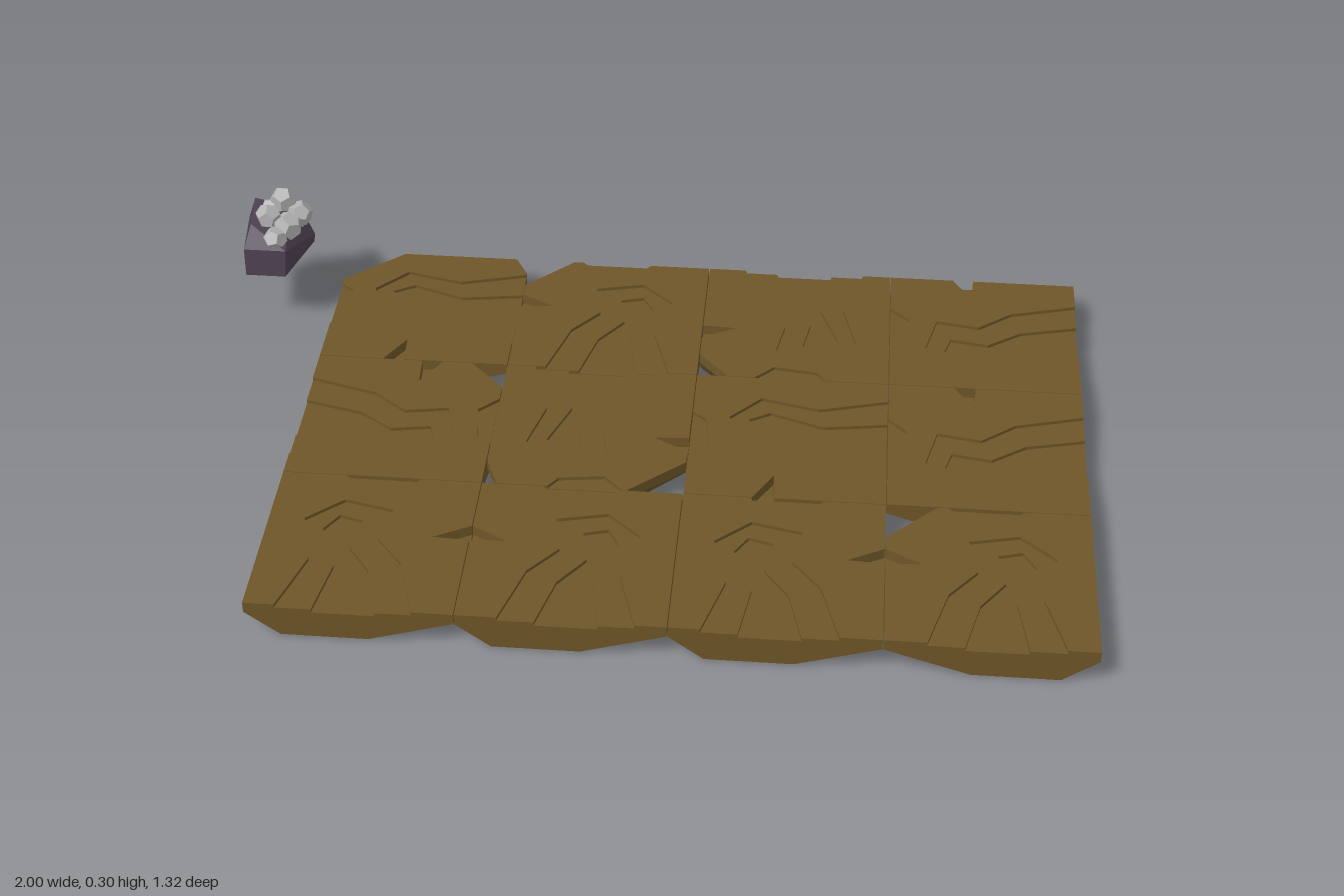
import * as THREE from 'three';
import { ConvexGeometry } from 'three/addons/geometries/ConvexGeometry.js';

const material = (color) => new THREE.MeshStandardMaterial({ color, flatShading: true });
const earth = material(0x6e5628);
const darkStone = material(0x4d4152);
const paleStone = material(0xb0b0b0);

const HALF = 0.219;   // half a slab's width
const PITCH = 0.44;   // distance between slab centres

// Notches in edge coordinates: along the edge (-1..1), depth inward
const valley = [[-0.6, 0], [-0.4, 0.7], [-0.12, 1.05], [-0.2, 1.5], [0.3, 1.62], [0.65, 1.3], [0.5, 0.7], [0.7, 0]];
const innerValley = [[-0.25, 0], [-0.1, 0.6], [0.15, 0.95], [0.08, 1.35], [0.32, 1.42], [0.45, 1.2], [0.25, 0.65], [0.35, 0]];
const shelf = [[-0.35, 0], [-0.25, 0.14], [0.2, 0.2], [0.4, 0]];
const crack = [[-0.32, 0], [-0.12, 0.36], [-0.1, 0]];

// Slabs row by row from the back: edge the valley opens on (0 front, 1 right,
// 2 back, 3 left), mirrored or not, and corners cut off (corner 0 is front left)
const slabs = [
  [{ open: 1, cuts: { 2: [0.27, 0.14], 3: [0.6, 0.55] } }, { open: 0, cuts: { 3: [0.5, 0.5] } },
    { open: 2, flip: true, cuts: { 0: [0.37, 0.32] } }, { open: 1, flip: true }],
  [{ open: 3, cuts: { 2: [0.4, 0.37] } }, { open: 2, cuts: { 0: [0.37, 0.14], 1: [0.55, 0.5] } },
    { open: 1 }, { open: 1, flip: true }],
  [{ open: 0, flip: true }, { open: 0 }, { open: 0, flip: true }, { open: 0, cuts: { 3: [0.5, 0.5] } }],
];

// Point on edge k of a slab, seen from above (x right, y towards the back)
function edgePoint(k, t, d = 0) {
  return new THREE.Vector2(t, d - 1).multiplyScalar(HALF)
    .rotateAround(new THREE.Vector2(), k * Math.PI / 2);
}

// Slab outline with cut corners and notches let into its edges
function outline(cuts, notches) {
  const points = [];
  for (let k = 0; k < 4; k++) {
    if (cuts[k]) points.push(edgePoint(k + 3, 1 - cuts[k][0]), edgePoint(k, cuts[k][1] - 1));
    else points.push(edgePoint(k, -1));
    for (const [t, d] of notches[k] || []) points.push(edgePoint(k, t, d));
  }
  return points;
}

function makeSlab({ open, flip = false, cuts = {} }, column) {
  const slab = new THREE.Group();
  const turn = (notch) => flip ? notch.map(([t, d]) => [-t, d]).reverse() : notch;
  const side = (open + (flip ? 1 : 3)) % 4;
  const opposite = (open + 2) % 4;

  // Underside, tapering to an eight-sided base
  const base = {};
  for (let k = 0; k < 4; k++) {
    const size = (k % 2 === 1) !== (column === 3) ? 0.82 : 0.34;
    base[k] = [0, 1].map((i) => Math.max(size, cuts[k] ? cuts[k][i] + 0.25 : 0));
  }
  const lift = (y) => (p) => new THREE.Vector3(p.x, y, -p.y);
  const hull = [...outline(cuts, {}).map(lift(0.055)), ...outline(base, {}).map(lift(0))];
  const underside = new THREE.Mesh(new ConvexGeometry(hull), earth);
  underside.name = 'slabUnderside';
  slab.add(underside);

  // Terraces stepping down into the valley
  const layers = [
    [0.055, 0.064, {}],
    [0.064, 0.072, { [open]: turn(innerValley) }],
    [0.072, 0.08, { [open]: turn(valley), [opposite]: turn(shelf) }],
  ];
  for (const [bottom, top, notches] of layers) {
    const shape = new THREE.Shape(outline(cuts, { ...notches, [side]: turn(crack) }));
    const geometry = new THREE.ExtrudeGeometry(shape, { depth: top - bottom, bevelEnabled: false });
    geometry.rotateX(-Math.PI / 2).translate(0, bottom, 0);
    const terrace = new THREE.Mesh(geometry, earth);
    terrace.name = 'slabTerrace';
    slab.add(terrace);
  }
  return slab;
}

function makeRock() {
  const rock = new THREE.Group();
  rock.name = 'floatingRock';

  // Dark faceted base
  const corners = [
    [-1, 0.14, -0.605], [-0.84, 0.14, -0.605], [-0.88, 0.14, -0.447], [-0.975, 0.14, -0.447],
    [-0.995, 0.2, -0.61], [-0.87, 0.22, -0.625], [-0.835, 0.165, -0.6], [-0.875, 0.21, -0.45],
    [-0.975, 0.21, -0.45], [-0.97, 0.27, -0.585], [-0.965, 0.25, -0.5], [-0.89, 0.25, -0.58],
  ].map((c) => new THREE.Vector3(...c));
  const base = new THREE.Mesh(new ConvexGeometry(corners), darkStone);
  base.name = 'rockBase';
  rock.add(base);

  // Cluster of pale lumps: x, y, z, radius
  const lumps = [
    [-0.9, 0.272, -0.58, 0.034], [-0.86, 0.245, -0.565, 0.032], [-0.925, 0.262, -0.52, 0.032],
    [-0.88, 0.24, -0.515, 0.036], [-0.905, 0.225, -0.48, 0.03], [-0.875, 0.21, -0.582, 0.022],
    [-0.93, 0.25, -0.57, 0.028],
  ];
  lumps.forEach(([x, y, z, r], i) => {
    const lump = new THREE.Mesh(new THREE.DodecahedronGeometry(r, 0), paleStone);
    lump.name = 'rockLump';
    lump.position.set(x, y, z);
    lump.rotation.set(i * 1.3, i * 0.8, i * 0.5);
    rock.add(lump);
  });
  return rock;
}

export function createModel() {
  const model = new THREE.Group();
  model.name = 'slabFloorWithRock';
  slabs.forEach((row, r) => row.forEach((spec, c) => {
    const slab = makeSlab(spec, c);
    slab.name = `slabRow${r + 1}Column${c + 1}`;
    slab.position.set(-0.54 + c * PITCH, 0, (r - 1) * PITCH);
    model.add(slab);
  }));
  model.add(makeRock());
  return model;
}
